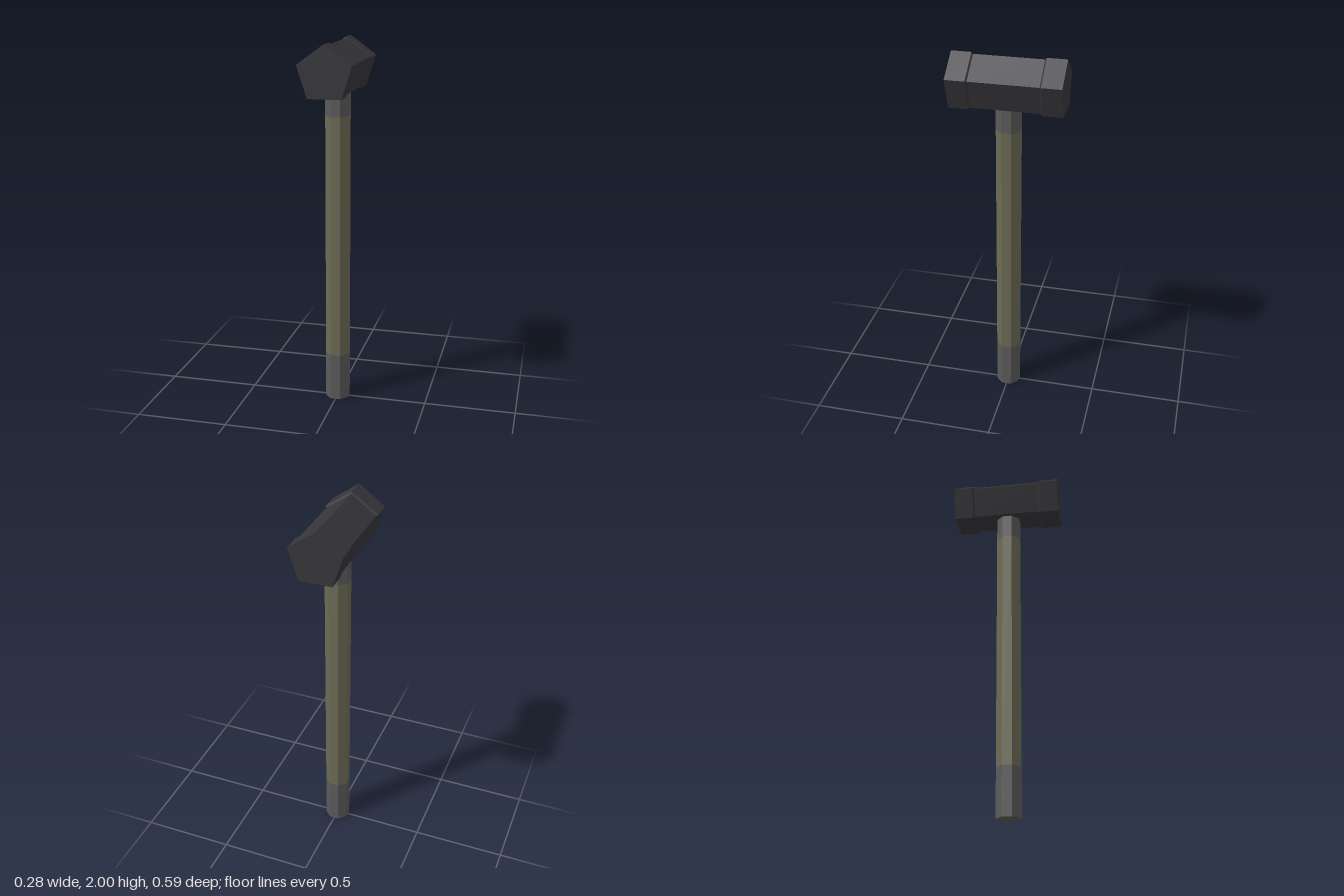
import * as THREE from 'three';

const paint = (color) => new THREE.MeshStandardMaterial({ color, flatShading: true });

export function createModel() {
  const group = new THREE.Group();
  const add = (name, geometry, material) => {
    const mesh = new THREE.Mesh(geometry, material);
    mesh.name = name;
    group.add(mesh);
  };

  const steel = paint(0x36363a);
  const grip = paint(0x5a5a5a);
  const wood = paint(0x6b6a54);

  // Octagonal handle in three flush sections, flats facing the axes
  const R = 0.068;
  const section = (name, y0, y1, material, open) => {
    const g = new THREE.CylinderGeometry(R, R, y1 - y0, 8, 1, open);
    g.rotateY(Math.PI / 8).translate(0, (y0 + y1) / 2, 0);
    add(name, g, material);
  };
  section('handleEnd', 0, 0.265, grip, false);
  section('handleShaft', 0.265, 1.605, wood, true);
  section('handleNeck', 1.605, 1.8, grip, false);

  // Pentagonal head: slim middle with a bevelled collar at each end
  const outer = 0.149, inner = 0.14;
  const half = [[inner, 0.182], [outer, 0.19], [outer, 0.295], [0, 0.295]];
  const profile = [
    ...half.map(([r, z]) => [r, -z]).reverse(),
    ...half,
  ].map(([r, z]) => new THREE.Vector2(r, z));
  const head = new THREE.LatheGeometry(profile, 5);
  head.rotateX(-Math.PI / 2).translate(0, 2 - outer, 0);
  add('hammerHead', head, steel);

  return group;
}
